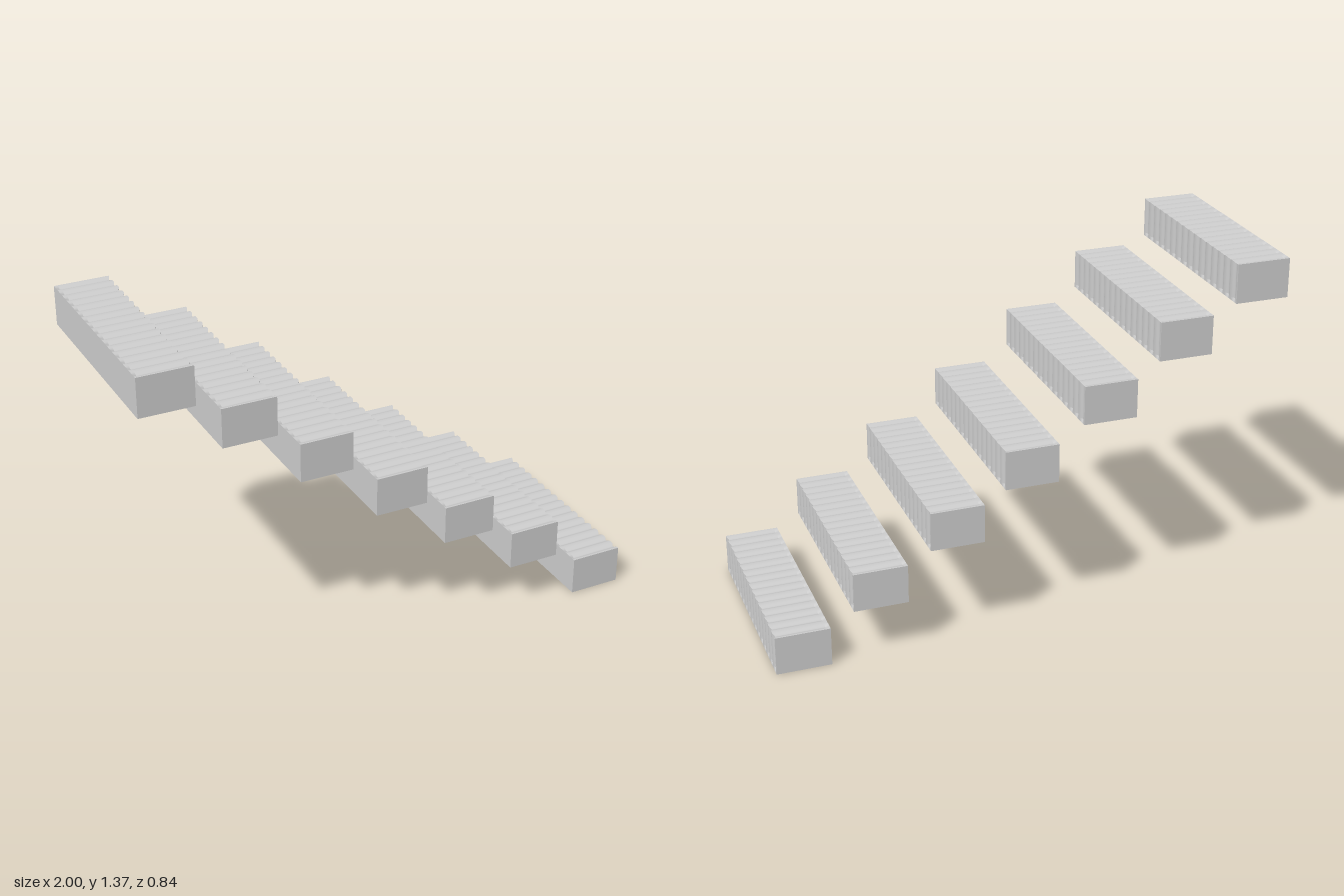
import * as THREE from 'three';
import { mergeGeometries } from 'three/addons/utils/BufferGeometryUtils.js';

const WIDTH = 0.21, HEIGHT = 0.153, LENGTH = 0.832;
const RIBS = 16, SAMPLES = 10, GROOVE = 0.007;

// Outline of a step at groove depth d, counter-clockwise from the back bottom edge.
// Grooves fade out towards the back top edge and the bottom outer edge.
function section(d) {
  const w = WIDTH / 2;
  return [
    [-w, 0], [w, 0], [w - d, 0.012],
    [w - d, HEIGHT - d], [-w + 0.014, HEIGHT - d], [-w, HEIGHT],
  ];
}

// One lengthwise band of the surface between neighbouring outline points
function band(i) {
  const positions = [], index = [];
  const rows = RIBS * SAMPLES;
  for (let r = 0; r <= rows; r++) {
    const z = (r / rows - 0.5) * LENGTH;
    const wave = 0.5 - 0.5 * Math.cos((r / SAMPLES) * Math.PI * 2);
    const points = section(GROOVE * wave ** 2);
    const a = points[i], b = points[(i + 1) % points.length];
    positions.push(a[0], a[1], z, b[0], b[1], z);
    if (r < rows) {
      const k = r * 2;
      index.push(k, k + 1, k + 3, k, k + 3, k + 2);
    }
  }
  const geometry = new THREE.BufferGeometry();
  geometry.setAttribute('position', new THREE.Float32BufferAttribute(positions, 3));
  geometry.setIndex(index);
  geometry.computeVertexNormals();
  return geometry;
}

function endCap(side) {
  const cap = new THREE.PlaneGeometry(WIDTH, HEIGHT);
  if (side < 0) cap.rotateY(Math.PI);
  cap.translate(0, HEIGHT / 2, side * LENGTH / 2);
  cap.deleteAttribute('uv');
  return cap;
}

export function createModel() {
  const group = new THREE.Group();
  group.name = 'floatingStairs';
  const material = new THREE.MeshStandardMaterial({ color: 0xcccccc });
  const bands = section(0).map((_, i) => band(i));
  const geometry = mergeGeometries([...bands, endCap(1), endCap(-1)]);

  // Separate steps descending towards +x: centre x, bottom y, z offset
  const steps = [
    [-0.895, 1.22, -0.003], [-0.595, 1.033, -0.003], [-0.3, 0.822, -0.003],
    [0.004, 0.604, 0.003], [0.296, 0.404, 0.003], [0.595, 0.207, 0.003],
    [0.895, 0.002, 0.003],
  ];
  steps.forEach(([x, y, z], i) => {
    const step = new THREE.Mesh(geometry, material);
    step.name = `step${i + 1}`;
    step.position.set(x, y, z);
    group.add(step);
  });
  return group;
}
